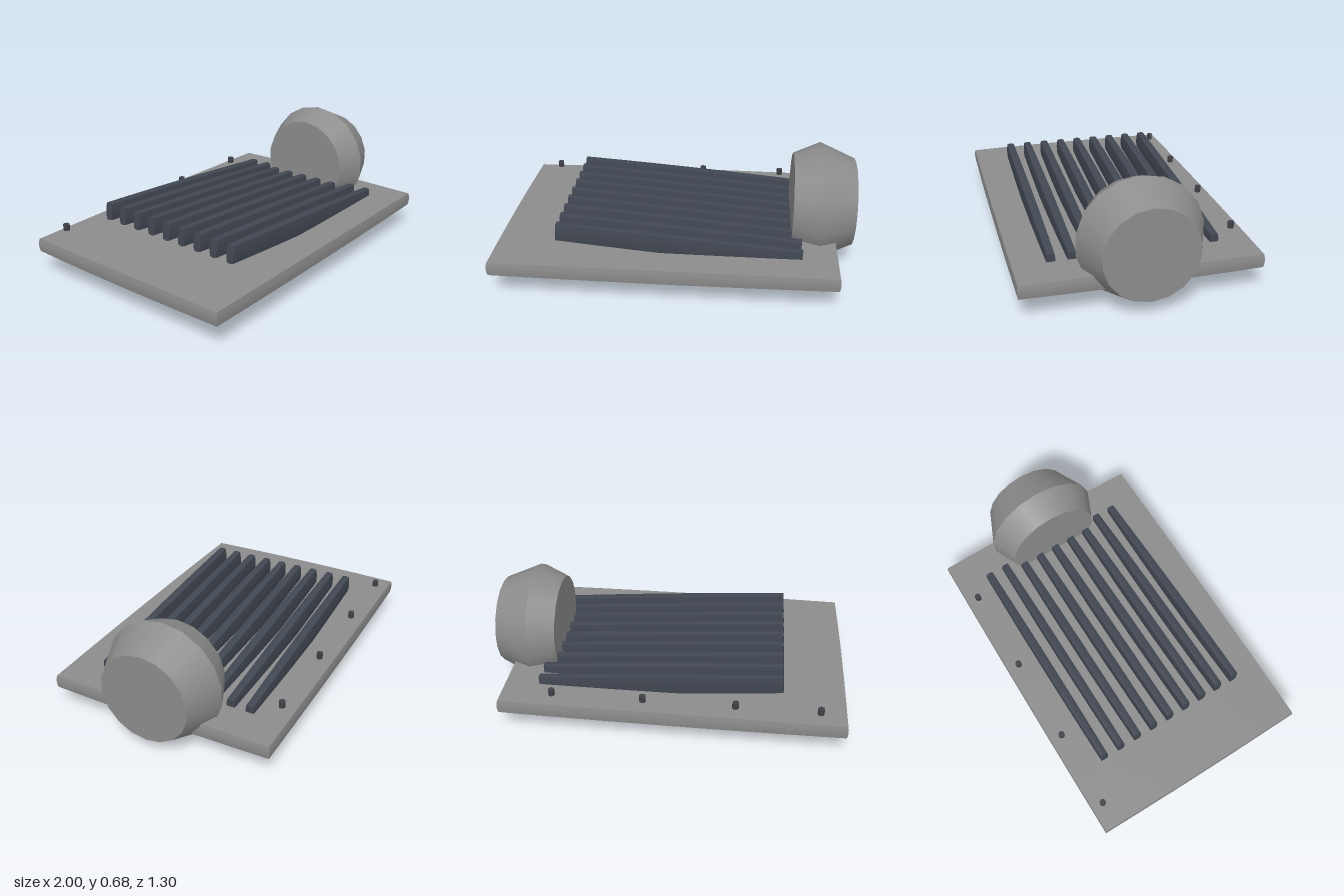
import * as THREE from 'three';

const stone = new THREE.MeshStandardMaterial({ color: 0x8c8c8c });
stone.name = 'mid grey';
const slate = new THREE.MeshStandardMaterial({ color: 0x414752 });
slate.name = 'dark slate';
const charcoal = new THREE.MeshStandardMaterial({ color: 0x404248 });
charcoal.name = 'charcoal';

function part(parent, name, geometry, material, x, y, z) {
  const mesh = new THREE.Mesh(geometry, material);
  mesh.name = name;
  mesh.position.set(x, y, z);
  parent.add(mesh);
  return mesh;
}

// Box whose six faces swell slightly outwards while its corners stay put
function bulgedBox(w, h, d, bx, by, bz) {
  const g = new THREE.BoxGeometry(w, h, d, 6, 4, 6);
  const p = g.attributes.position;
  for (let i = 0; i < p.count; i++) {
    const u = p.getX(i) / (w / 2), v = p.getY(i) / (h / 2), t = p.getZ(i) / (d / 2);
    const fu = 1 - u * u, fv = 1 - v * v, ft = 1 - t * t;
    p.setXYZ(i,
      p.getX(i) + u * bx * (fv + ft) / 2,
      p.getY(i) + v * by * (fu + ft) / 2,
      p.getZ(i) + t * bz * (fu + fv) / 2);
  }
  g.computeVertexNormals();
  return g;
}

// Capless or capped frustum lying along x
function frustum(rLeft, rRight, length, capped) {
  const g = new THREE.CylinderGeometry(rRight, rLeft, length, 18, 1, !capped);
  return g.rotateY(Math.PI / 2).rotateZ(-Math.PI / 2);
}

export function createModel() {
  const model = new THREE.Group();
  model.name = 'finnedPlate';

  // Base slab
  part(model, 'basePlate', bulgedBox(1.88, 0.075, 1.28, 0.01, 0.008, 0.008), stone, -0.05, 0.17, 0);

  // Sloping fins
  const fins = new THREE.Group();
  fins.name = 'fins';
  model.add(fins);
  const finGeometry = bulgedBox(1.35, 0.096, 0.04, 0.002, 0.007, 0.008);
  for (let i = -4; i <= 4; i++) {
    const fin = part(fins, 'fin', finGeometry, slate, 0.025, 0.257, i * 0.11);
    fin.rotation.z = -0.08;
  }

  // Faceted drum at the end, widest at its ridge
  const drum = new THREE.Group();
  drum.name = 'drum';
  model.add(drum);
  const inner = frustum(0.273, 0.339, 0.15, false);
  const outer = frustum(0.339, 0.252, 0.2, false);
  part(drum, 'drumInner', inner, stone, 0.725, 0.34, 0);
  part(drum, 'drumOuter', outer, stone, 0.9, 0.34, 0);
  for (const [x, r, side] of [[0.65, 0.273, -1], [1, 0.252, 1]]) {
    const cap = new THREE.CircleGeometry(r, 18, Math.PI / 2).rotateY(side * Math.PI / 2);
    part(drum, 'drumCap', cap, stone, x, 0.34, 0);
  }

  // Row of small studs along the back edge
  const studGeometry = new THREE.CylinderGeometry(0.018, 0.018, 0.036, 8);
  for (const x of [-0.85, -0.4, 0.1, 0.6]) {
    part(model, 'stud', studGeometry, charcoal, x, 0.248, -0.575);
  }
  return model;
}
